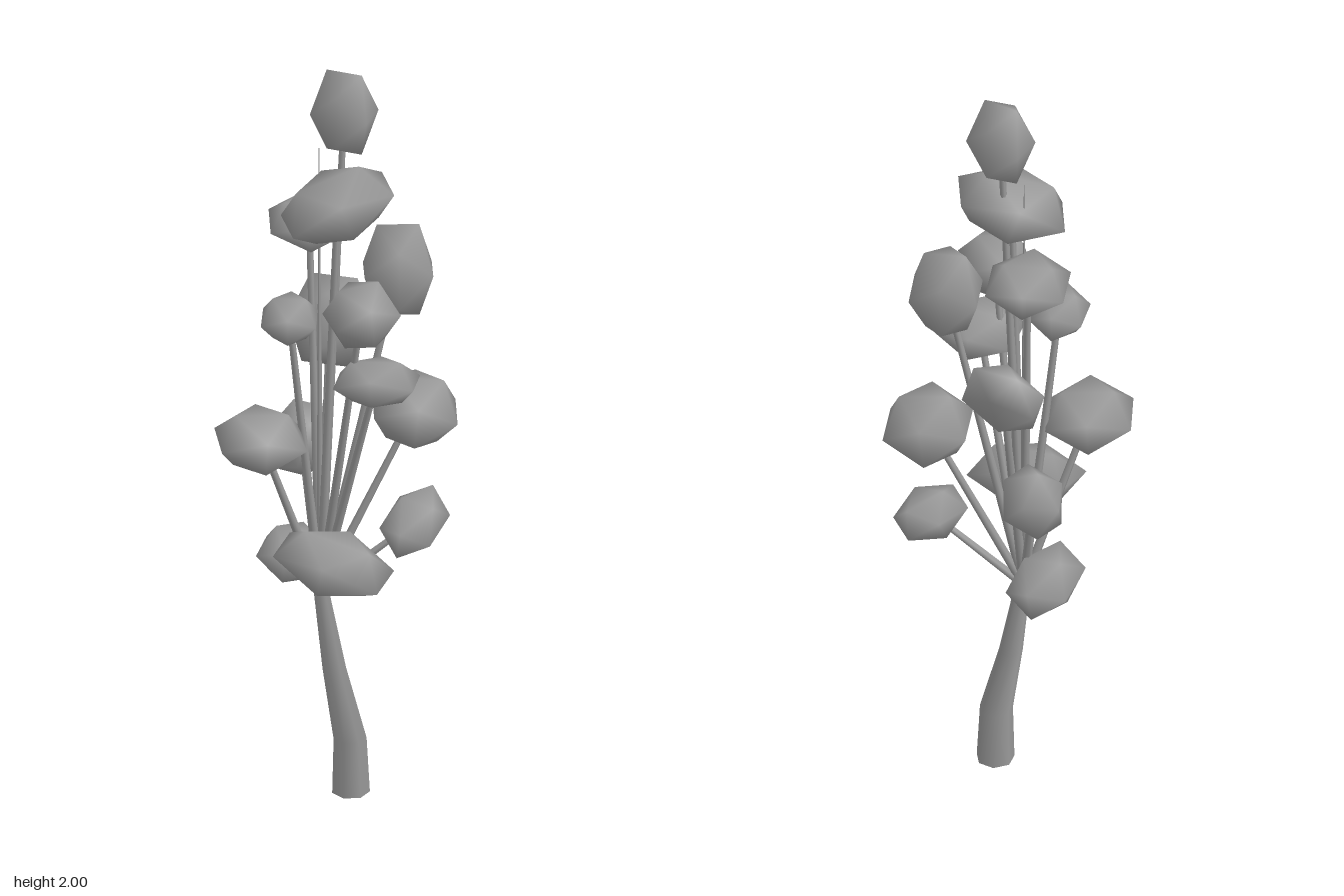
import * as THREE from 'three';
import { mergeVertices } from 'three/addons/utils/BufferGeometryUtils.js';

const FORK = new THREE.Vector3(-0.052, 0.55, -0.02);

// Leaf clumps: centre, radii, then yaw, pitch along x and roll
const CLUMPS = [
  [[0.005, 1.89, -0.035], [0.088, 0.13, 0.08], [0, 0, 0]],
  [[0.01, 1.66, 0.025], [0.16, 0.092, 0.122], [0.6, 0.33, 0]],
  [[-0.11, 1.535, -0.095], [0.115, 0.062, 0.125], [0.4, 0, 0]],
  [[0.12, 1.435, -0.108], [0.1, 0.142, 0.1], [0.4, 0, -0.1]],
  [[0.1, 1.405, 0.095], [0.1, 0.095, 0.1], [0.7, 0.1, 0]],
  [[-0.1, 1.345, 0.07], [0.08, 0.064, 0.095], [0.3, 0, 0]],
  [[0.13, 1.21, 0.07], [0.118, 0.062, 0.105], [0.2, 0.05, -0.1]],
  [[-0.085, 1.225, -0.172], [0.115, 0.13, 0.068], [0.1, 0, -0.4]],
  [[-0.157, 1.02, 0.12], [0.125, 0.08, 0.13], [0.5, -0.05, 0]],
  [[0.152, 1.035, -0.14], [0.122, 0.1, 0.13], [0.4, -0.1, 0]],
  [[-0.145, 0.905, -0.13], [0.085, 0.108, 0.09], [0.4, -0.3, -0.2]],
  [[0.052, 0.735, 0.165], [0.165, 0.076, 0.11], [0, -0.2, 0.1]],
  [[0.165, 0.74, -0.105], [0.08, 0.072, 0.125], [0, -0.2, 0.2]],
  [[-0.14, 0.62, -0.06], [0.094, 0.072, 0.13], [0.15, -0.1, -0.1]],
];

// Tapered rod running from point a to point b
function rod(a, b, r0, r1, material, name) {
  const length = a.distanceTo(b);
  const geometry = new THREE.CylinderGeometry(r1, r0, length, 6);
  const mesh = new THREE.Mesh(geometry, material);
  mesh.position.copy(a).add(b).multiplyScalar(0.5);
  mesh.quaternion.setFromUnitVectors(new THREE.Vector3(0, 1, 0), b.clone().sub(a).normalize());
  mesh.name = name;
  return mesh;
}

// Bent, tapering trunk: each cylinder ring is moved to its own centre and radius
function trunkGeometry() {
  const rings = [ // height, x, z, radius
    [0, 0.024, -0.03, 0.048],
    [0.15, 0.022, -0.029, 0.042],
    [0.34, -0.018, -0.025, 0.03],
    [0.56, -0.052, -0.021, 0.019],
  ];
  const geometry = new THREE.CylinderGeometry(1, 1, 3, 7, 3);
  const p = geometry.attributes.position;
  for (let i = 0; i < p.count; i++) {
    const [y, x, z, r] = rings[Math.round(p.getY(i) + 1.5)];
    p.setXYZ(i, x + p.getX(i) * r, y, z + p.getZ(i) * r);
  }
  return geometry;
}

// Smooth-shaded twenty-sided clump
function clumpGeometry() {
  const geometry = new THREE.IcosahedronGeometry(1, 0);
  geometry.deleteAttribute('uv');
  geometry.deleteAttribute('normal');
  const merged = mergeVertices(geometry, 1e-3);
  merged.computeVertexNormals();
  return merged;
}

export function createModel() {
  const model = new THREE.Group();
  model.name = 'tree';
  const grey = new THREE.MeshStandardMaterial({ color: 0x999999 });
  grey.name = 'plain grey';

  const trunk = new THREE.Mesh(trunkGeometry(), grey);
  trunk.name = 'trunk';
  model.add(trunk);

  // One branch per clump, all fanning out of the fork
  const leaf = clumpGeometry();
  CLUMPS.forEach(([centre, radii, [yaw, pitch, roll]], i) => {
    const tip = new THREE.Vector3(...centre);
    model.add(rod(FORK, tip, 0.012, 0.008, grey, `branch${i + 1}`));
    const clump = new THREE.Mesh(leaf, grey);
    clump.position.copy(tip);
    clump.scale.set(...radii);
    clump.rotation.set(roll, yaw, pitch, 'YZX');
    clump.name = `leafClump${i + 1}`;
    model.add(clump);
  });

  // Bare twig beside the crown
  model.add(rod(FORK, new THREE.Vector3(-0.06, 1.78, -0.03), 0.01, 0.001, grey, 'bareTwig'));
  return model;
}
